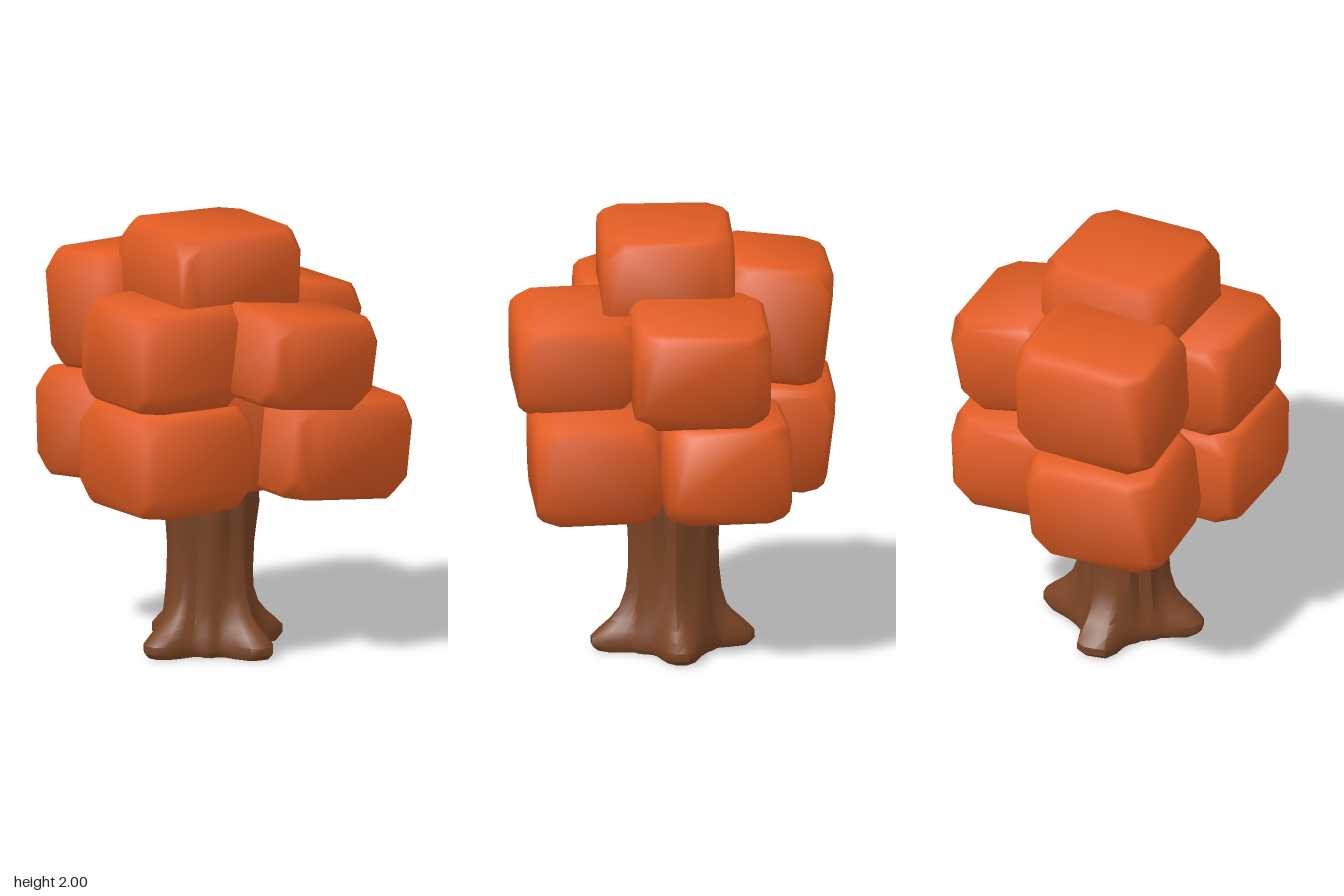
import * as THREE from 'three';
import { toCreasedNormals } from 'three/addons/utils/BufferGeometryUtils.js';
import { ConvexGeometry } from 'three/addons/geometries/ConvexGeometry.js';

// Softly shaded box with narrow bevelled edges and larger cut corners
function chamferedBlock(w, h, d, edge = 0.027, corner = 0.1) {
  const half = [w / 2, h / 2, d / 2];
  const cuts = [[0, edge, corner], [0, corner, edge], [edge, 0, corner],
    [corner, 0, edge], [edge, corner, 0], [corner, edge, 0]];
  const points = [];
  for (const sx of [-1, 1]) for (const sy of [-1, 1]) for (const sz of [-1, 1]) {
    for (const c of cuts) {
      points.push(new THREE.Vector3(
        sx * (half[0] - c[0]), sy * (half[1] - c[1]), sz * (half[2] - c[2])));
    }
  }
  return toCreasedNormals(new ConvexGeometry(points), 1.0);
}

// Ridged trunk lofted from rings, flaring into four roots
function trunkGeometry() {
  // height, trunk radius, extra root reach
  const rings = [
    [0, 0.215, 0.14], [0.025, 0.23, 0.15], [0.06, 0.23, 0.15], [0.1, 0.222, 0.115],
    [0.14, 0.212, 0.076], [0.19, 0.203, 0.042], [0.27, 0.195, 0.02], [0.38, 0.19, 0.012],
    [0.5, 0.192, 0.01], [0.6, 0.202, 0.005], [0.68, 0.212, 0.004], [0.78, 0.205, 0], [0.95, 0.22, 0],
  ];
  const roots = [0.05, 1.5, 3.1, 4.75];
  const sides = 48;
  const positions = [], index = [];
  for (const [y, r, reach] of rings) {
    for (let i = 0; i < sides; i++) {
      const a = (i / sides) * Math.PI * 2;
      let radius = r + 0.008 * Math.sin(a * 9 + y * 2) + 0.006 * Math.sin(a * 14 + 1 - y * 3);
      for (const root of roots) {
        const off = Math.atan2(Math.sin(a - root), Math.cos(a - root));
        radius += reach * Math.exp(-Math.pow(Math.abs(off) / 0.34, 3));
      }
      positions.push(radius * Math.cos(a) - 0.03, y, radius * Math.sin(a));
    }
  }
  for (let k = 0; k < rings.length - 1; k++) {
    for (let i = 0; i < sides; i++) {
      const a = k * sides + i, b = k * sides + (i + 1) % sides;
      index.push(a, a + sides, b, b, a + sides, b + sides);
    }
  }
  // underside
  const centre = positions.length / 3;
  positions.push(-0.03, 0, 0);
  for (let i = 0; i < sides; i++) index.push(centre, i, (i + 1) % sides);
  const g = new THREE.BufferGeometry();
  g.setAttribute('position', new THREE.Float32BufferAttribute(positions, 3));
  g.setIndex(index);
  return toCreasedNormals(g, 0.7);
}

export function createModel() {
  const tree = new THREE.Group();
  tree.name = 'autumnTree';

  const leaf = new THREE.MeshStandardMaterial({ color: 0xe25c22 });
  leaf.name = 'orange leaves';
  const bark = new THREE.MeshStandardMaterial({ color: 0x7a4425 });
  bark.name = 'brown bark';

  const trunk = new THREE.Mesh(trunkGeometry(), bark);
  trunk.name = 'trunk';
  tree.add(trunk);

  // Leaf blocks: name, size, centre, rotation
  const blocks = [
    ['topLeaves', [0.63, 0.44, 0.6], [-0.06, 1.77, 0.03], [0, -0.13, -0.03]],
    ['upperBackLeaves', [0.65, 0.54, 0.5], [-0.1, 1.545, -0.455], [-0.12, -0.1, 0]],
    ['upperLeftLeaves', [0.51, 0.46, 0.61], [0.395, 1.455, -0.04], [0, -0.08, -0.2]],
    ['upperFrontLeaves', [0.57, 0.42, 0.55], [0.065, 1.44, 0.475], [0.02, -0.09, -0.13]],
    ['upperRightLeaves', [0.55, 0.46, 0.58], [-0.375, 1.45, 0.09], [0, -0.12, -0.01]],
    ['lowerRightLeaves', [0.58, 0.47, 0.6], [-0.385, 0.98, 0.12], [0, -0.1, 0.01]],
    ['lowerFrontLeaves', [0.64, 0.46, 0.56], [0.27, 1.005, 0.425], [0.02, -0.1, -0.1]],
    ['lowerLeftLeaves', [0.55, 0.45, 0.56], [0.36, 0.97, -0.16], [0, -0.05, -0.04]],
    ['lowerBackLeaves', [0.63, 0.49, 0.53], [-0.16, 1.005, -0.465], [-0.12, -0.1, -0.06]],
    ['innerLeaves', [0.74, 0.77, 0.72], [-0.02, 1.18, 0.03], [0, -0.1, 0]],
  ];
  const crown = new THREE.Group();
  crown.name = 'crown';
  for (const [name, size, centre, rotation] of blocks) {
    const block = new THREE.Mesh(chamferedBlock(...size), leaf);
    block.name = name;
    block.position.set(...centre);
    block.rotation.set(...rotation);
    crown.add(block);
  }
  tree.add(crown);
  return tree;
}
